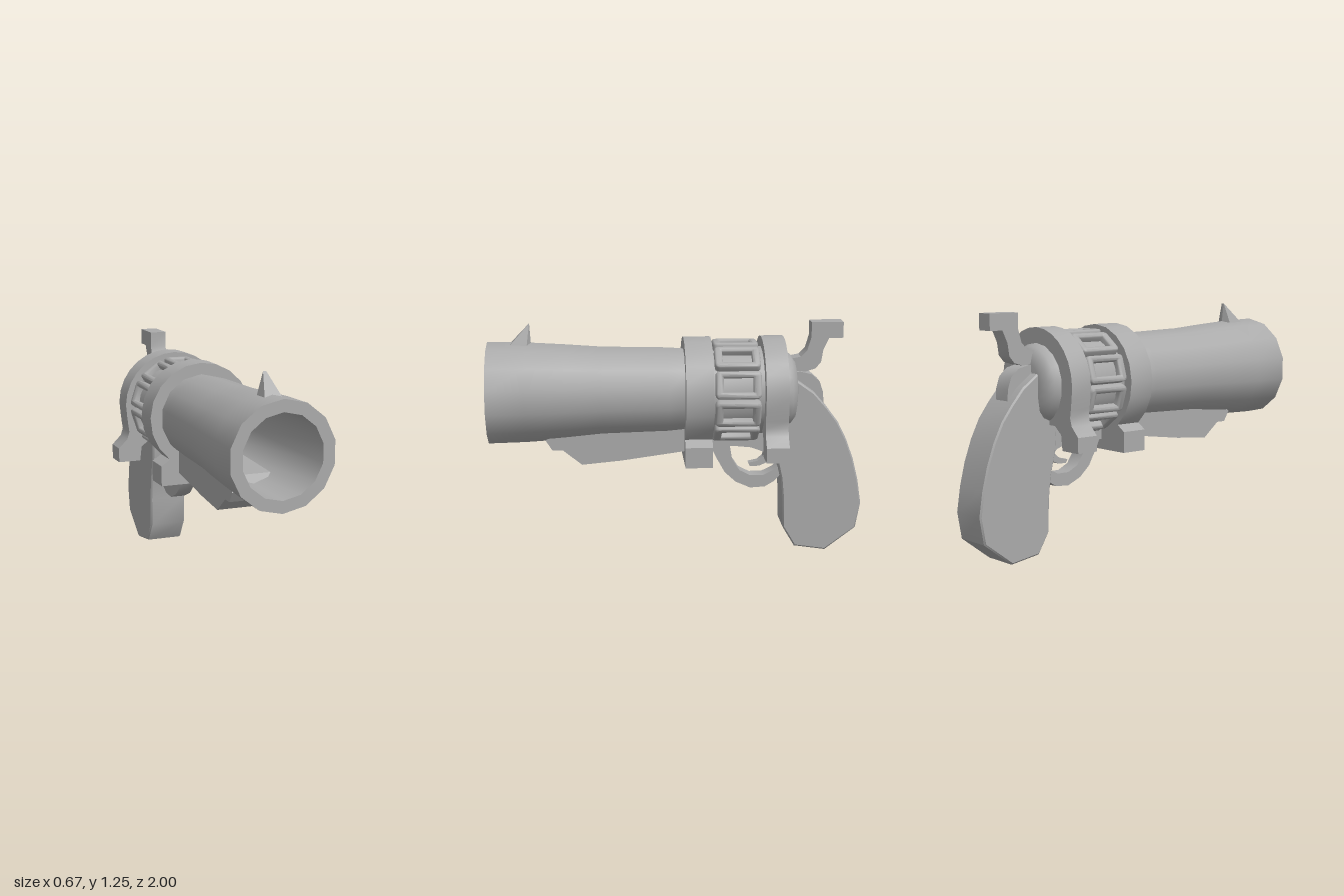
import * as THREE from 'three';
import { toCreasedNormals } from 'three/addons/utils/BufferGeometryUtils.js';
import { ConvexGeometry } from 'three/addons/geometries/ConvexGeometry.js';

const AXIS_Y = 0.89; // height of the barrel axis

export function createModel() {
  const model = new THREE.Group();
  const grey = new THREE.MeshStandardMaterial({ color: 0xaaaaaa });
  grey.name = 'plain grey';

  const add = (name, geometry, parent = model, crease = 0.6) => {
    const mesh = new THREE.Mesh(toCreasedNormals(geometry, crease), grey);
    mesh.name = name;
    parent.add(mesh);
    return mesh;
  };
  const toShape = (pts) => new THREE.Shape(pts.map(([a, b]) => new THREE.Vector2(a, b)));

  // Side profile of [z, y] points, given a width centred on x = 0
  const sideProfile = (name, pts, width, bevel = 0) => {
    const g = new THREE.ExtrudeGeometry(toShape(pts), {
      depth: width - 2 * bevel, bevelEnabled: bevel > 0, bevelThickness: bevel,
      bevelSize: bevel, bevelOffset: -bevel, bevelSegments: 1,
    });
    g.translate(0, 0, bevel - width / 2).rotateY(-Math.PI / 2);
    return add(name, g);
  };

  // Turned part from [radius, z] points around the barrel axis
  const turned = (name, pts, sides, crease = 0.6) => {
    const g = new THREE.LatheGeometry(pts.map(([r, z]) => new THREE.Vector2(r, z)), sides);
    g.rotateX(Math.PI / 2).translate(0, AXIS_Y, 0);
    return add(name, g, model, crease);
  };

  // Round plate whose lower half follows mirrored [x, y] points
  const plate = (name, endAngle, lower, zBack, depth) => {
    const pts = [];
    const n = 16;
    for (let i = 0; i <= n; i++) {
      const a = endAngle + ((Math.PI - 2 * endAngle) * i) / n;
      pts.push([0.29 * Math.cos(a), AXIS_Y + 0.29 * Math.sin(a)]);
    }
    lower.forEach(([x, y]) => pts.push([-x, y]));
    [...lower].reverse().forEach(([x, y]) => pts.push([x, y]));
    const g = new THREE.ExtrudeGeometry(toShape(pts), { depth, bevelEnabled: false });
    return add(name, g.translate(0, 0, zBack));
  };

  // Hollow flared barrel
  turned('barrel', [
    [0.228, -0.04], [0.235, 0.05], [0.243, 0.4], [0.258, 0.6], [0.27, 0.8], [0.275, 1],
    [0.212, 1], [0.2, 0.1], [0, 0.1],
  ], 14);

  // Lug under the barrel
  sideProfile('barrelLug', [
    [0.7, 0.655], [0.665, 0.6], [0.61, 0.6], [0.51, 0.52], [0.3, 0.54], [-0.06, 0.59],
    [-0.06, 0.74], [0.62, 0.72],
  ], 0.26);

  // Front sight
  const sight = [[0, 1.15, 0.77], [0.045, 1.15, 0.79], [-0.045, 1.15, 0.79], [0.045, 1.15, 0.88],
    [-0.045, 1.15, 0.88], [0.022, 1.2, 0.83], [-0.022, 1.2, 0.83], [0.008, 1.26, 0.777], [-0.008, 1.26, 0.777]];
  add('frontSight', new ConvexGeometry(sight.map((p) => new THREE.Vector3(...p))), model, 0.2);

  // Front collar with square foot, rear collar with flared feet
  plate('frontCollar', -0.9, [[0.23, 0.63], [0.23, 0.52]], -0.18, 0.145);
  plate('rearCollar', -0.2, [
    [0.278, 0.78], [0.272, 0.74], [0.285, 0.7], [0.335, 0.65], [0.335, 0.57], [0.21, 0.57],
    [0.2, 0.65], [0.15, 0.69],
  ], -0.57, 0.12);

  // Drum: core and ten raised window frames
  turned('drumCore', [[0, -0.46], [0.235, -0.46], [0.235, -0.17], [0, -0.17]], 20);
  const roundedRect = (path, w, h, r) => {
    path.moveTo(-w + r, -h);
    path.lineTo(w - r, -h).quadraticCurveTo(w, -h, w, -h + r);
    path.lineTo(w, h - r).quadraticCurveTo(w, h, w - r, h);
    path.lineTo(-w + r, h).quadraticCurveTo(-w, h, -w, h - r);
    path.lineTo(-w, -h + r).quadraticCurveTo(-w, -h, -w + r, -h);
    return path;
  };
  const frame = roundedRect(new THREE.Shape(), 0.062, 0.11, 0.015);
  frame.holes.push(roundedRect(new THREE.Path(), 0.048, 0.088, 0.008));
  const frameGeometry = new THREE.ExtrudeGeometry(frame, {
    depth: 0.055, bevelThickness: 0.012, bevelSize: 0.01, bevelSegments: 2, curveSegments: 3,
  });
  frameGeometry.rotateX(-Math.PI / 2).translate(0, 0.2, 0);
  const drumFrames = new THREE.Group();
  drumFrames.name = 'drumFrames';
  drumFrames.position.set(0, AXIS_Y, -0.31);
  model.add(drumFrames);
  for (let i = 0; i < 10; i++) {
    add('drumFrame', frameGeometry, drumFrames, 0.9).rotation.z = (i * Math.PI) / 5;
  }

  // Rounded cap behind the rear collar
  turned('rearCap', [
    [0, -0.64], [0.12, -0.64], [0.165, -0.63], [0.195, -0.605], [0.21, -0.57], [0.21, -0.5],
  ], 18, 0.8);

  // Lower frame joining the collars and the grip
  sideProfile('lowerFrame', [
    [-0.17, 0.57], [-0.3, 0.59], [-0.4, 0.58], [-0.48, 0.55], [-0.55, 0.48], [-0.66, 0.48],
    [-0.66, 0.75], [-0.17, 0.7],
  ], 0.1);

  // Trigger guard and trigger
  sideProfile('triggerGuard', [
    [-0.18, 0.59], [-0.215, 0.52], [-0.26, 0.44], [-0.32, 0.385], [-0.4, 0.35], [-0.48, 0.355],
    [-0.53, 0.385], [-0.58, 0.44], [-0.58, 0.5], [-0.53, 0.45], [-0.47, 0.42], [-0.4, 0.42],
    [-0.34, 0.45], [-0.3, 0.51], [-0.285, 0.6],
  ], 0.085);
  sideProfile('trigger', [
    [-0.39, 0.485], [-0.4, 0.465], [-0.45, 0.468], [-0.5, 0.49], [-0.55, 0.53], [-0.52, 0.58],
    [-0.48, 0.56], [-0.47, 0.52], [-0.44, 0.495],
  ], 0.045);

  // Grip and the tongue along its upper back
  sideProfile('grip', [
    [-0.6, 0.98], [-0.66, 0.94], [-0.73, 0.89], [-0.8, 0.81], [-0.86, 0.73], [-0.91, 0.63],
    [-0.95, 0.52], [-0.98, 0.4], [-1, 0.27], [-0.975, 0.13], [-0.81, 0.005], [-0.64, 0.03],
    [-0.575, 0.14], [-0.572, 0.3], [-0.56, 0.42], [-0.53, 0.55], [-0.52, 0.68], [-0.54, 0.85],
  ], 0.21, 0.008);
  sideProfile('gripTongue', [
    [-0.58, 0.99], [-0.66, 0.995], [-0.72, 0.98], [-0.765, 0.94], [-0.785, 0.88], [-0.79, 0.8],
    [-0.7, 0.8], [-0.58, 0.9],
  ], 0.1);

  // Hammer
  sideProfile('hammer', [
    [-0.58, 1.0], [-0.69, 0.995], [-0.74, 1.01], [-0.77, 1.045], [-0.78, 1.11], [-0.81, 1.175],
    [-0.885, 1.175], [-0.885, 1.26], [-0.715, 1.26], [-0.715, 1.18], [-0.695, 1.11],
    [-0.66, 1.075], [-0.58, 1.06],
  ], 0.09);

  return model;
}
